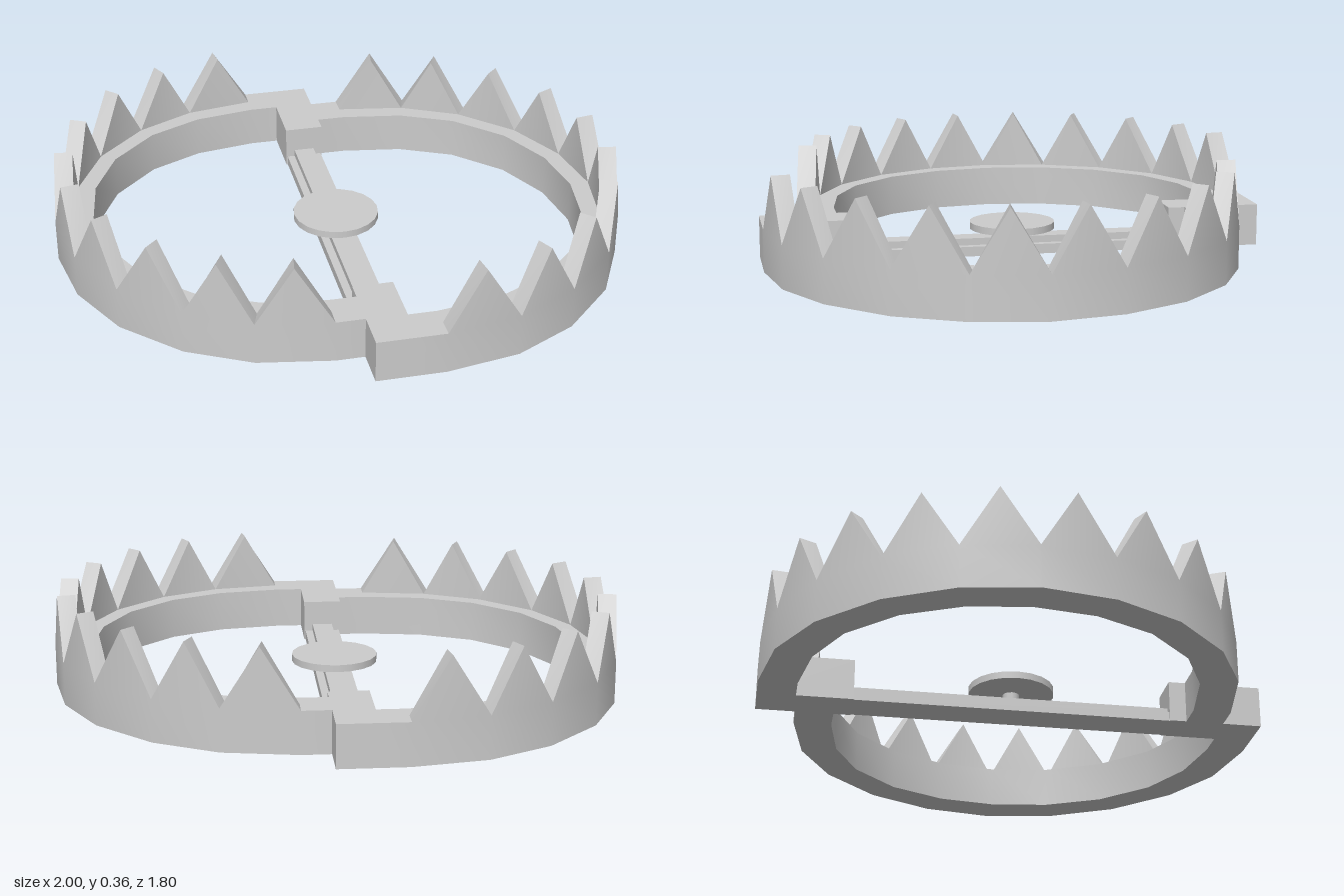
import * as THREE from 'three';
import { mergeGeometries, toCreasedNormals } from 'three/addons/utils/BufferGeometryUtils.js';

const MAT = new THREE.MeshStandardMaterial({ color: 0xcccccc });
const JAW_H = 0.15, TOOTH_H = 0.36, JAW_Z = 0.07;

// One half of the jaw outline as [x, distance from the jaw's own centre line]
const OUTER = [[0.07, 0.83], [0.17, 0.83], [0.43, 0.785], [0.65, 0.67], [0.84, 0.48], [0.957, 0.25], [1, 0]];
const INNER = [[0.07, 0.695], [0.17, 0.695], [0.39, 0.66], [0.58, 0.57], [0.74, 0.41], [0.835, 0.21], [0.865, 0]];

// Full outline from back to front as [x, z]
function arc(half) {
  const back = half.map(([x, d]) => [x, JAW_Z - d]);
  const front = half.slice(0, -1).reverse().map(([x, d]) => [x, JAW_Z + d]);
  return [...back, ...front];
}

// Wedge tooth standing on the outer half of the jaw between corners a and b
function tooth(a, b, a2, b2) {
  const v = ([x, z], y) => [x, y, z];
  const mid = (p, q) => [(p[0] + q[0]) / 2, (p[1] + q[1]) / 2];
  const A = v(a, JAW_H), B = v(b, JAW_H), C = v(a2, JAW_H), D = v(b2, JAW_H);
  const P = v(mid(a, b), TOOTH_H), Q = v(mid(a2, b2), TOOTH_H);
  const faces = [B, A, P, C, D, Q, A, C, Q, A, Q, P, D, B, P, D, P, Q];
  const g = new THREE.BufferGeometry();
  g.setAttribute('position', new THREE.Float32BufferAttribute(faces.flat(), 3));
  g.computeVertexNormals();
  return g;
}

// Curved band with its row of teeth
function jawGeometry() {
  const outer = arc(OUTER), inner = arc(INNER);
  const shape = new THREE.Shape([...outer, ...inner.slice().reverse()].map(([x, z]) => new THREE.Vector2(x, -z)));
  let band = new THREE.ExtrudeGeometry(shape, { depth: JAW_H, bevelEnabled: false });
  band.rotateX(-Math.PI / 2);
  if (band.index) band = band.toNonIndexed();
  band.deleteAttribute('uv');
  const middle = outer.map(([x, z], i) => [(x + inner[i][0]) / 2, (z + inner[i][1]) / 2]);
  const parts = [band];
  for (let i = 1; i < outer.length - 2; i++) {
    parts.push(tooth(outer[i], outer[i + 1], middle[i], middle[i + 1]));
  }
  return toCreasedNormals(mergeGeometries(parts), Math.PI / 6);
}

function add(parent, name, geometry, x = 0, y = 0, z = 0) {
  const mesh = new THREE.Mesh(geometry, MAT);
  mesh.name = name;
  mesh.position.set(x, y, z);
  parent.add(mesh);
  return mesh;
}

export function createModel() {
  const model = new THREE.Group();
  model.name = 'jawTrap';

  // Two identical halves, each a toothed jaw with its hinge block
  const jaw = jawGeometry();
  const block = new THREE.BoxGeometry(0.14, JAW_H, 0.335);
  ['left', 'right'].forEach((side, i) => {
    const half = new THREE.Group();
    half.name = side + 'Half';
    half.rotation.y = i * Math.PI;
    add(half, side + 'Jaw', jaw);
    add(half, side + 'HingeBlock', block, 0, JAW_H / 2, 0.7325);
    model.add(half);
  });

  // Base bar with a raised rib along it
  add(model, 'baseBar', new THREE.BoxGeometry(0.13, 0.035, 1.14), 0, 0.0175, 0);
  add(model, 'baseRib', new THREE.BoxGeometry(0.075, 0.03, 1.14), 0, 0.045, 0);

  // Round trigger plate on a short post
  add(model, 'triggerPost', new THREE.CylinderGeometry(0.03, 0.03, 0.03, 12), 0, 0.072, 0);
  add(model, 'triggerPlate', new THREE.CylinderGeometry(0.153, 0.153, 0.025, 20), 0, 0.0985, 0);

  return model;
}
